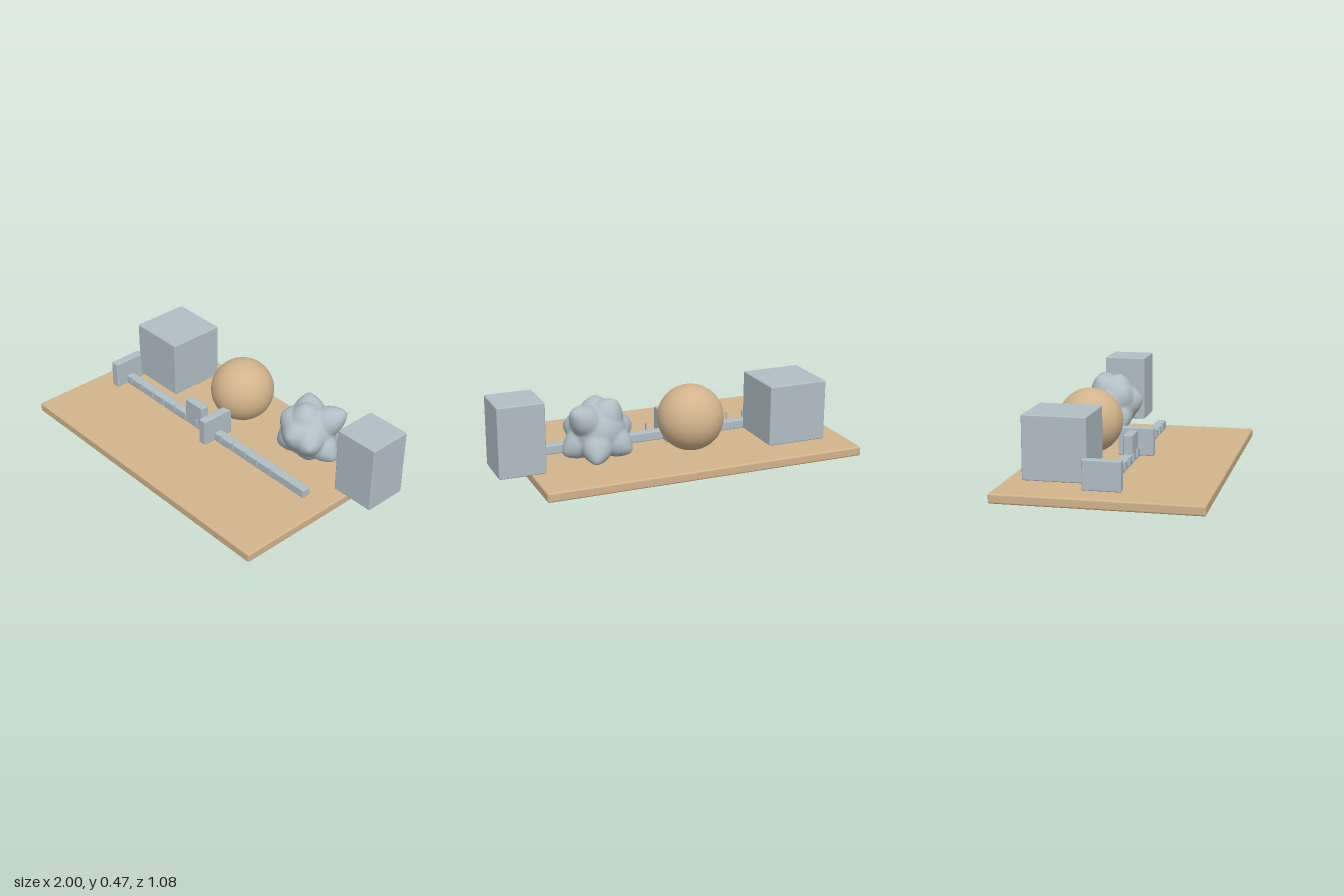
import * as THREE from 'three';
import { mergeVertices } from 'three/addons/utils/BufferGeometryUtils.js';
import { RoundedBoxGeometry } from 'three/addons/geometries/RoundedBoxGeometry.js';

const wood = new THREE.MeshStandardMaterial({ name: 'wood', color: 0xd2b48c });
const steel = new THREE.MeshStandardMaterial({ name: 'steel', color: 0xb0bec5 });

// Box with softened edges, given by its [min, max] range on each axis
function block(name, material, [x0, x1], [y0, y1], [z0, z1], radius = 0.006) {
  const geometry = new RoundedBoxGeometry(x1 - x0, y1 - y0, z1 - z0, 2, radius);
  const mesh = new THREE.Mesh(geometry, material);
  mesh.name = name;
  mesh.position.set((x0 + x1) / 2, (y0 + y1) / 2, (z0 + z1) / 2);
  return mesh;
}

// Lumpy stone: a sphere drawn out into a cone towards each tip
function stoneGeometry() {
  const tips = [
    [-0.075, 0.175, -0.07], [0.175, 0.15, -0.11], [0.2, -0.115, -0.01],
    [0.075, -0.123, -0.188], [-0.19, 0.01, -0.005], [-0.14, -0.12, 0.095],
    [0.01, 0.03, 0.18], [0.02, -0.195, 0.005], [0.145, 0.0, 0.145],
    [-0.14, -0.1, -0.14], [0.0, 0.175, 0.05], [-0.11, 0.1, 0.1],
  ].map((t) => new THREE.Vector3(...t));
  const base = 0.15, spread = 0.58;

  let geometry = new THREE.IcosahedronGeometry(1, 14);
  geometry.deleteAttribute('uv');
  geometry.deleteAttribute('normal');
  geometry = mergeVertices(geometry, 1e-4);

  const position = geometry.attributes.position;
  const v = new THREE.Vector3();
  for (let i = 0; i < position.count; i++) {
    v.fromBufferAttribute(position, i).normalize();
    let radius = base;
    for (const tip of tips) {
      const reach = Math.max(0, 1 - v.angleTo(tip) / spread);
      radius = Math.max(radius, base + (tip.length() - base) * reach);
    }
    v.multiplyScalar(radius);
    position.setXYZ(i, v.x, v.y, v.z);
  }
  geometry.computeVertexNormals();
  return geometry;
}

export function createModel() {
  const model = new THREE.Group();
  model.name = 'measuringDisplay';

  // Base board
  model.add(block('board', wood, [-1, 0.8], [0, 0.052], [-0.54, 0.54], 0.01));

  // Sample solids behind the caliper
  model.add(block('cube', steel, [-0.832, -0.498], [0.083, 0.417], [-0.417, -0.083]));
  model.add(block('tallBlock', steel, [0.75, 1], [0.093, 0.472], [-0.373, -0.127]));

  const ball = new THREE.Mesh(new THREE.SphereGeometry(0.18, 48, 32), wood);
  ball.name = 'ball';
  ball.position.set(-0.1, 0.25, -0.25);
  model.add(ball);

  const stone = new THREE.Mesh(stoneGeometry(), steel);
  stone.name = 'stone';
  stone.position.set(0.43, 0.25, -0.25);
  model.add(stone);

  // Caliper: rail, two jaws and slider
  const caliper = new THREE.Group();
  caliper.name = 'caliper';
  caliper.add(
    block('rail', steel, [-0.83, 0.67], [0.057, 0.108], [-0.026, 0.026]),
    block('fixedJaw', steel, [-0.87, -0.82], [0.058, 0.214], [-0.1, 0.1]),
    block('slidingJaw', steel, [-0.08, -0.03], [0.058, 0.214], [-0.1, 0.1]),
    block('slider', steel, [-0.28, -0.14], [0.058, 0.214], [-0.026, 0.026]),
  );

  // Scale marks standing in front of the rail
  const markGeometry = new THREE.BoxGeometry(0.007, 0.043, 0.012);
  for (let i = 0; i < 13; i++) {
    const mark = new THREE.Mesh(markGeometry, steel);
    mark.name = 'scaleMark';
    mark.position.set(-0.757 + i * 0.0995, 0.116, 0.047);
    caliper.add(mark);
  }
  model.add(caliper);

  return model;
}
